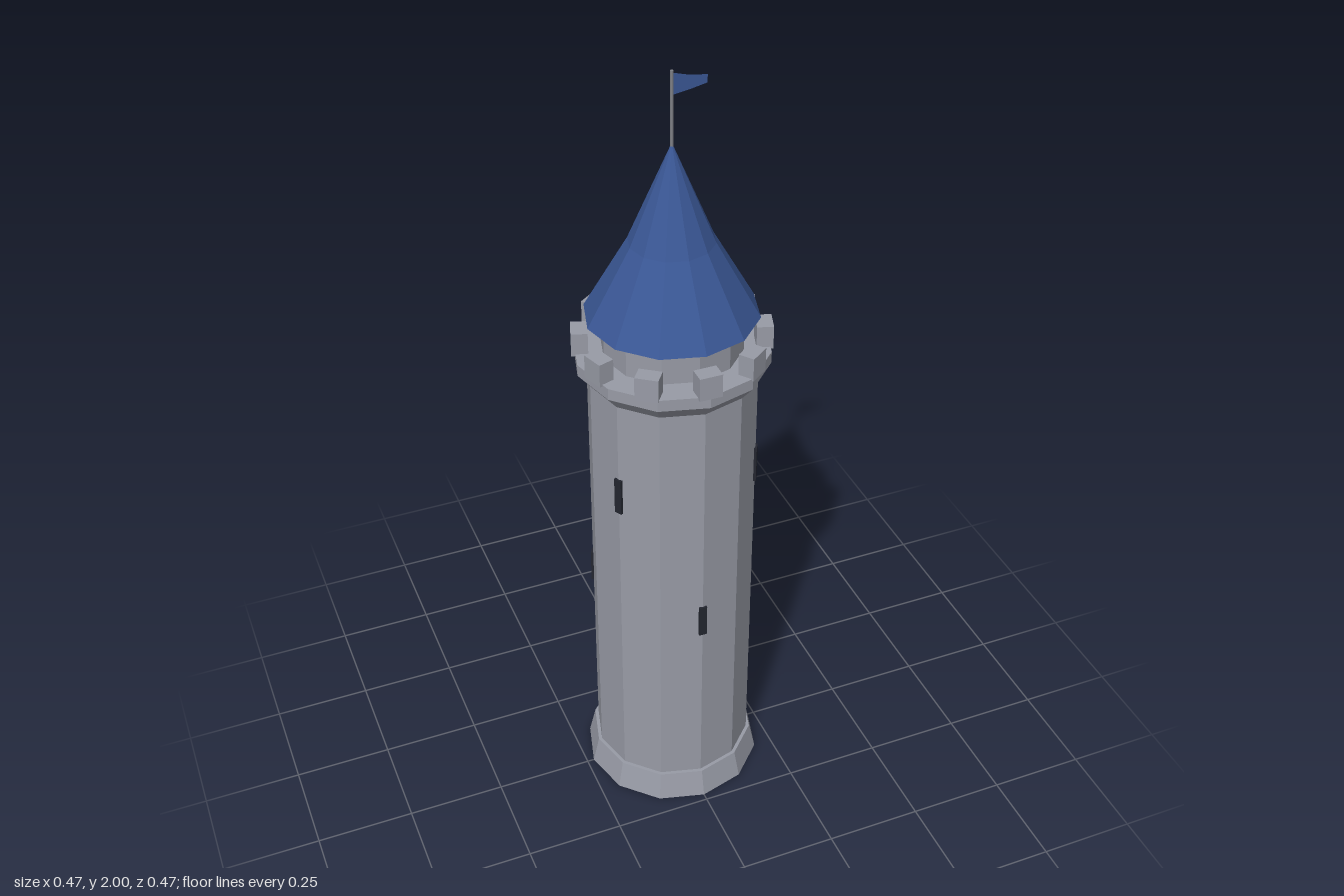
import * as THREE from 'three';

const SIDES = 12;

export function createModel() {
  const material = (name, color) => {
    const m = new THREE.MeshStandardMaterial({ color, flatShading: true });
    m.name = name;
    return m;
  };
  const stone = material('stone', 0x989ba6);
  const roofBlue = material('roofBlue', 0x3a5795);
  const dark = material('slitDark', 0x23262f);
  const iron = material('poleGrey', 0x7d7f84);

  const tower = new THREE.Group();
  tower.name = 'tower';

  const add = (name, geometry, mat, parent = tower) => {
    const mesh = new THREE.Mesh(geometry, mat);
    mesh.name = name;
    parent.add(mesh);
    return mesh;
  };

  // Faceted drum between two heights
  const drum = (name, y0, y1, r0, r1, mat, open = false, sides = SIDES) => {
    const mesh = add(name, new THREE.CylinderGeometry(r1, r0, y1 - y0, sides, 1, open), mat);
    mesh.position.y = (y0 + y1) / 2;
    return mesh;
  };

  // Masonry
  drum('base', 0, 0.075, 0.232, 0.215, stone);
  drum('shaft', 0.07, 1.25, 0.206, 0.206, stone);
  drum('corbel', 1.243, 1.28, 0.206, 0.236, stone);
  drum('parapet', 1.28, 1.31, 0.236, 0.236, stone);
  drum('turret', 1.3, 1.405, 0.17, 0.17, stone);

  // Boxes set around the tower, each facing outward
  const ringBox = (name, angle, radius, y, size, mat, parent) => {
    const mesh = add(name, new THREE.BoxGeometry(...size), mat, parent);
    mesh.position.set(Math.sin(angle) * radius, y, Math.cos(angle) * radius);
    mesh.rotation.y = angle;
  };

  // Battlements
  const battlements = new THREE.Group();
  battlements.name = 'battlements';
  tower.add(battlements);
  for (let i = 0; i < 10; i++) {
    ringBox('merlon', (i * Math.PI) / 5, 0.217, 1.335, [0.056, 0.06, 0.04], stone, battlements);
  }

  // Arrow slits, alternating low and high on every second corner
  const slits = new THREE.Group();
  slits.name = 'arrowSlits';
  tower.add(slits);
  for (let i = 0; i < 6; i++) {
    const high = i % 2 === 1;
    ringBox('arrowSlit', (i * Math.PI) / 3, 0.203, high ? 0.983 : 0.61,
      [0.02, high ? 0.1 : 0.09, 0.014], dark, slits);
  }

  // Bell-cast roof with a closed underside
  const profile = [[0, 1.402], [0.208, 1.402], [0.102, 1.59], [0, 1.832]];
  add('roof', new THREE.LatheGeometry(profile.map(([x, y]) => new THREE.Vector2(x, y)), SIDES), roofBlue);

  // Flagpole and pennant
  drum('flagpole', 1.81, 2, 0.004, 0.004, iron, false, 6);
  const pennant = new THREE.Shape([
    [0.002, 1.943], [0.045, 1.95], [0.083, 1.958], [0.083, 1.977], [0.04, 1.983], [0.002, 1.994],
  ].map(([x, y]) => new THREE.Vector2(x, y)));
  const cloth = material('flagBlue', 0x3a5795);
  cloth.side = THREE.DoubleSide;
  add('flag', new THREE.ShapeGeometry(pennant), cloth);

  return tower;
}
